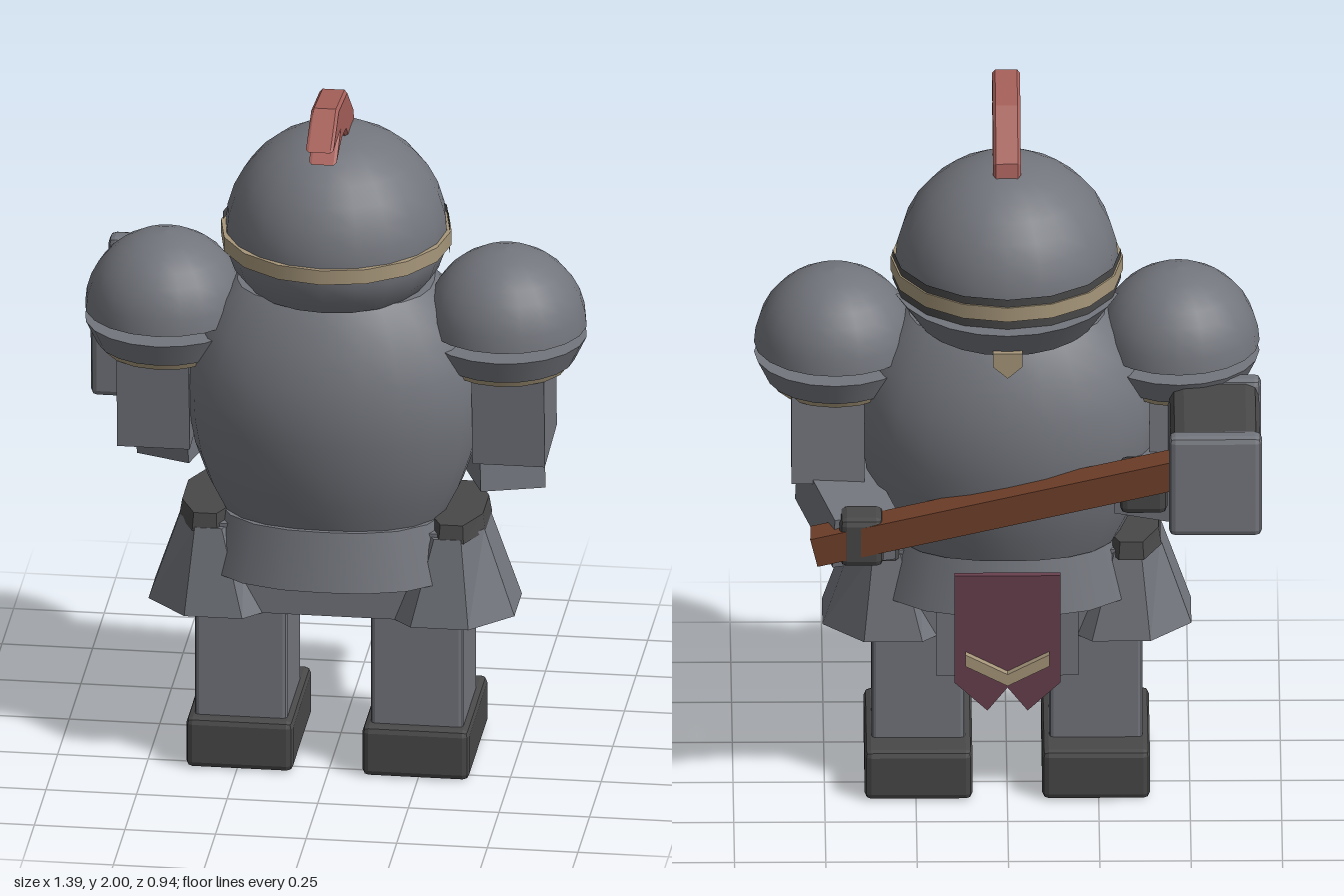
import * as THREE from 'three';
import { RoundedBoxGeometry } from 'three/addons/geometries/RoundedBoxGeometry.js';

const mat = (name, color, extra = {}) => {
  const m = new THREE.MeshStandardMaterial({ color, ...extra });
  m.name = name;
  return m;
};
const steel = mat('steel', 0x72757c);
const iron = mat('dark iron', 0x484848, { side: THREE.DoubleSide });
const brass = mat('brass', 0xa6967a);
const red = mat('plume red', 0xa6605a);
const cloth = mat('plum cloth', 0x68404e);
const wood = mat('wood', 0x70402a);

export function createModel() {
  const root = new THREE.Group();
  root.name = 'armouredFigure';

  function add(name, geometry, material, x = 0, y = 0, z = 0) {
    const mesh = new THREE.Mesh(geometry, material);
    mesh.name = name;
    mesh.position.set(x, y, z);
    root.add(mesh);
    return mesh;
  }
  // Box with a flat chamfer on every edge
  function chamferBox(w, h, d, bevel) {
    const g = new RoundedBoxGeometry(w, h, d, 1, bevel);
    g.computeVertexNormals();
    return g;
  }
  // Box spanning two points
  function beam(name, a, b, w, h, material) {
    const from = new THREE.Vector3(...a), to = new THREE.Vector3(...b);
    const mesh = add(name, new THREE.BoxGeometry(w, h, from.distanceTo(to)), material);
    mesh.position.copy(from).add(to).multiplyScalar(0.5);
    mesh.lookAt(to);
    return mesh;
  }
  // Turned part; repeated points give hard edges
  const turned = (points, sides, sx = 1, sz = 1, start = 0, sweep = Math.PI * 2) =>
    new THREE.LatheGeometry(points.map(p => new THREE.Vector2(...p)), sides, start, sweep).scale(sx, 1, sz);
  // Fills out a round plan towards a rounded rectangle
  function squarish(g) {
    const p = g.attributes.position;
    for (let i = 0; i < p.count; i++) {
      const x = p.getX(i), z = p.getZ(i), r = Math.hypot(x, z);
      if (r < 1e-6) continue;
      const k = (Math.abs(x / r) ** 2.5 + Math.abs(z / r) ** 2.5) ** (-1 / 2.5);
      p.setX(i, x * k);
      p.setZ(i, z * k);
    }
    return g;
  }
  // Eight-sided tapering block: half sizes and x offset at the bottom and top
  function octagonBlock(h, bottom, top) {
    const g = new THREE.CylinderGeometry(1, 1, h, 8, 1, false, Math.PI / 8).toNonIndexed();
    const p = g.attributes.position, k = 1 / Math.cos(Math.PI / 8);
    for (let i = 0; i < p.count; i++) {
      const [rx, rz, dx] = p.getY(i) > 0 ? top : bottom;
      p.setX(i, p.getX(i) * rx * k + dx);
      p.setZ(i, p.getZ(i) * rz * k);
    }
    g.computeVertexNormals();
    return g;
  }
  // Points of a quarter circle from the rim to the top
  const dome = (r, y) => Array.from({ length: 9 }, (_, i) => {
    const a = i / 8 * Math.PI / 2;
    return [i === 8 ? 0 : r * Math.cos(a), y + r * Math.sin(a)];
  });
  const plate = (points, depth, bevel = 0) => new THREE.ExtrudeGeometry(
    new THREE.Shape(points.map(p => new THREE.Vector2(...p))),
    { depth, bevelEnabled: bevel > 0, bevelSize: bevel, bevelThickness: bevel, bevelOffset: -bevel, bevelSegments: 1 });

  // Barrel-shaped body armour
  add('torso', squarish(turned([[0, 0.74], [0.31, 0.74], [0.31, 0.74], [0.35, 0.82], [0.385, 0.92], [0.403, 1.02],
    [0.407, 1.1], [0.395, 1.19], [0.36, 1.28], [0.31, 1.36], [0.27, 1.4], [0.27, 1.4], [0, 1.4]], 24)).scale(1, 1, 0.78),
    steel, 0, 0, 0.1);

  // Helmet with a brass band over a dark visor
  add('helmet', turned([[0, 1.395], [0.245, 1.395], [0.245, 1.395], [0.282, 1.44], [0.3, 1.49], ...dome(0.306, 1.54)],
    20, 1, 1.03), steel, 0, 0, 0.1);
  add('helmetBand', turned([[0.29, 1.51], [0.318, 1.51], [0.318, 1.51], [0.318, 1.552], [0.318, 1.552], [0.29, 1.552]],
    16, 1, 1.03), brass, 0, 0, 0.1);
  add('visor', new THREE.CylinderGeometry(0.313, 0.313, 0.09, 8, 1, true, Math.PI / 2, Math.PI).scale(1, 1, 1.03),
    iron, 0, 1.53, 0.1);
  add('mouthGuard', turned([[0.2, 1.39], [0.275, 1.39], [0.275, 1.39], [0.345, 1.485], [0.345, 1.485], [0.25, 1.485]],
    10, 0.92, 1.06, Math.PI - 1.3, 2.6), steel, 0, 0, 0.1);
  add('chinStud', plate([[-0.04, 1.41], [-0.04, 1.37], [0, 1.335], [0.04, 1.37], [0.04, 1.41]], 0.04),
    brass, 0, 0, -0.222);

  // Forward-curling plume
  const plumePoints = [[0.468, 1.92], [0.345, 2], [0.16, 1.98], [0.02, 1.87], [0.01, 1.83], [0.14, 1.83],
    [0.19, 1.87], [0.28, 1.88], [0.4, 1.855], [0.31, 1.92]];
  const plume = plate(plumePoints.map(([z, y]) => [-z, y]), 0.06, 0.008).translate(0, 0, -0.03);
  plume.rotateY(Math.PI / 2);
  add('plume', plume, red);

  // Hips
  add('skirt', squarish(turned([[0, 0.58], [0.36, 0.58], [0.36, 0.58], [0.315, 0.745], [0.315, 0.745], [0, 0.745]], 20))
    .scale(1, 1, 0.77), steel, 0, 0, 0.115);
  add('pelvis', new THREE.BoxGeometry(0.64, 0.26, 0.3), steel, 0, 0.59, 0.12);

  for (const s of [1, -1]) {
    const side = s > 0 ? 'left' : 'right';
    // Flared hip guard under a dark clasp
    add(side + 'HipGuard', octagonBlock(0.25, [0.193, 0.195, s * 0.312], [0.09, 0.16, s * 0.33]), steel, 0, 0.585, 0.125);
    add(side + 'HipClasp', octagonBlock(0.05, [0.083, 0.17, s * 0.34], [0.075, 0.16, s * 0.34]), iron, 0, 0.725, 0.115);

    // Legs and boots
    add(side + 'Leg', chamferBox(0.255, 0.5, 0.29, 0.012), steel, s * 0.243, 0.37, 0.12);
    add(side + 'Boot', chamferBox(0.295, 0.147, 0.42, 0.018), iron, s * 0.243, 0.0735, 0.09);
    add(side + 'BackStrap', new THREE.BoxGeometry(0.07, 0.23, 0.05), steel, s * 0.16, 0.49, -0.082);

    // Shoulder dome above a separate tapered rim
    add(side + 'ShoulderDome', turned([[0, 1.29], [0.222, 1.29], [0.222, 1.29], ...dome(0.222, 1.29).slice(1)], 20),
      steel, s * 0.47, 0, 0.108);
    add(side + 'ShoulderRim', turned([[0, 1.19], [0.188, 1.19], [0.188, 1.19], [0.222, 1.26], [0.222, 1.26], [0, 1.26]], 20),
      steel, s * 0.47, 0, 0.108);
    add(side + 'ShoulderTrim', new THREE.CylinderGeometry(0.182, 0.17, 0.024, 16), brass, s * 0.47, 1.182, 0.108);

    const arm = add(side + 'UpperArm', new THREE.BoxGeometry(0.2, 0.26, 0.26), steel, s * 0.49, 1.05, 0.095);
    arm.rotation.x = 0.07;
  }
  // Forearms and hands reaching to the haft
  beam('leftForearm', [0.49, 0.885, 0.13], [0.39, 0.835, -0.2], 0.18, 0.155, steel);
  beam('rightForearm', [-0.48, 0.915, 0.13], [-0.37, 0.965, -0.17], 0.16, 0.15, steel);
  add('leftHand', chamferBox(0.12, 0.145, 0.11, 0.02), iron, 0.4, 0.852, -0.21);
  add('rightHand', chamferBox(0.13, 0.13, 0.12, 0.02), iron, -0.372, 1.0, -0.2);

  // War hammer
  beam('hammerHaft', [-0.5, 1.075, -0.24], [0.53, 0.825, -0.22], 0.085, 0.085, wood);
  const hammer = new THREE.Group();
  hammer.name = 'hammerHead';
  hammer.position.set(-0.567, 1.11, -0.24);
  hammer.rotation.x = 0.04;
  const core = add('hammerCore', chamferBox(0.245, 0.28, 0.4, 0.038), iron);
  hammer.add(core);
  for (const s of [1, -1]) {
    hammer.add(add(s > 0 ? 'innerCap' : 'outerCap', chamferBox(0.255, 0.295, 0.065, 0.018), steel, 0, 0, s * 0.195));
  }
  root.add(hammer);

  // Hanging cloth with a notched hem and chevron
  add('hangingCloth', plate([[-0.145, 0.71], [-0.145, 0.385], [-0.055, 0.3], [0, 0.37], [0.055, 0.3],
    [0.145, 0.385], [0.145, 0.71]], 0.02), cloth, 0, 0, -0.172);
  add('chevron', plate([[-0.115, 0.48], [-0.115, 0.445], [0, 0.385], [0.115, 0.445], [0.115, 0.48], [0, 0.42]], 0.022),
    brass, 0, 0, -0.194);

  return root;
}
